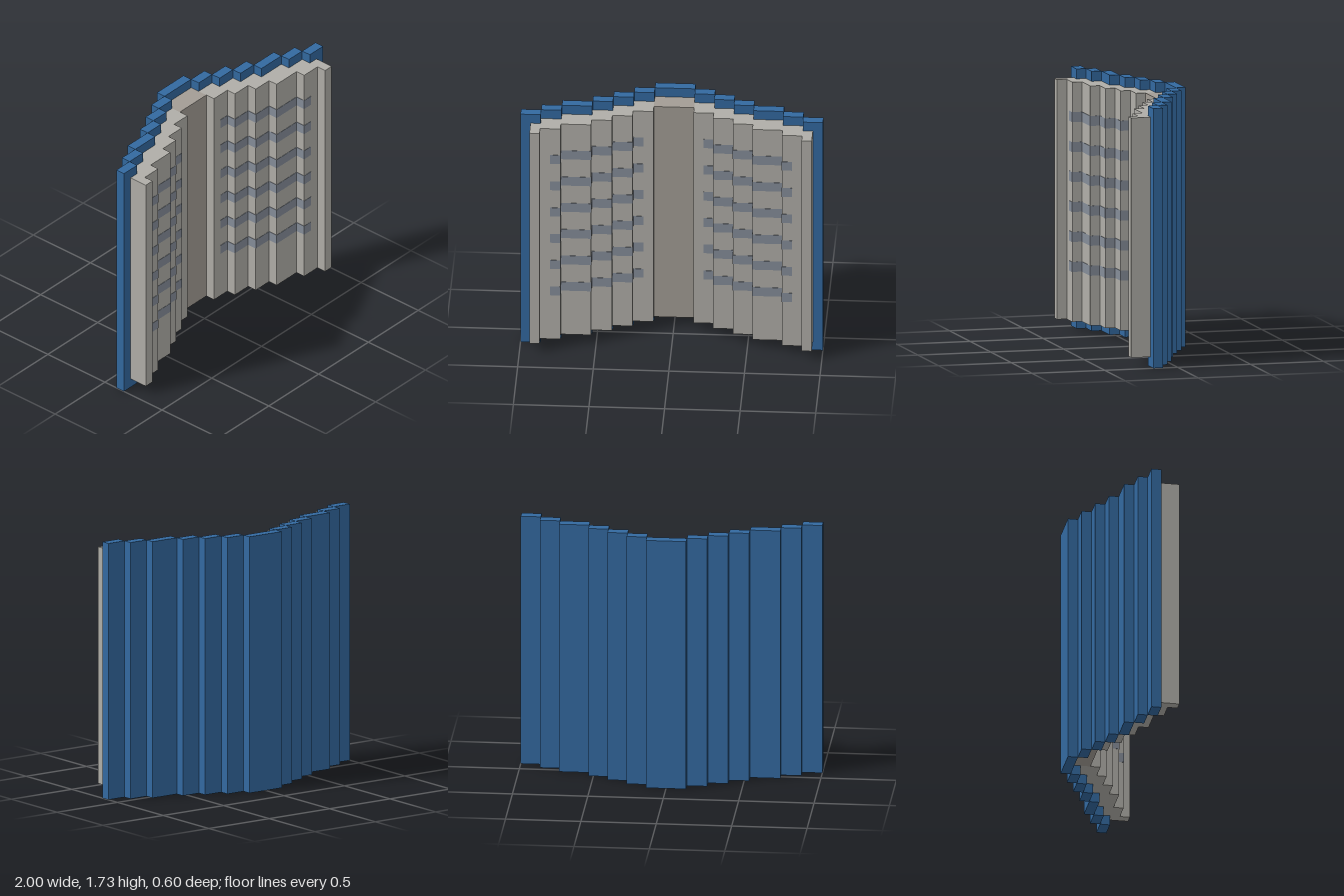
import * as THREE from 'three';

const U = 1 / 15; // one block unit
const EPS = 0.03; // how far the printed lines stand proud, in units

const mat = (color) => new THREE.MeshStandardMaterial({ color, flatShading: true });
const coverMat = mat(0x3369a0);
const pageMat = mat(0xb0aea8);
const gutterMat = mat(0xa39d95);
const lineMat = mat(0x858d99);

// Box given by its limits in block units
function block(name, material, x0, x1, y0, y1, z0, z1) {
  const mesh = new THREE.Mesh(
    new THREE.BoxGeometry((x1 - x0) * U, (y1 - y0) * U, (z1 - z0) * U), material);
  mesh.position.set((x0 + x1) / 2 * U, (y0 + y1) / 2 * U, (z0 + z1) / 2 * U);
  mesh.name = name;
  return mesh;
}

export function createModel() {
  const book = new THREE.Group();
  book.name = 'openBook';

  // Spine and the gutter between the two page stacks
  book.add(block('spine', coverMat, -2, 2, 0, 26, -4.5, -3.5));
  book.add(block('pageGutter', gutterMat, -2, 2, 1, 25, -3.5, -1.5));

  // Each half steps forward one unit per strip, going outwards
  const edges = [2, 4, 6, 8, 11, 13, 15];
  for (const [side, s] of [['left', 1], ['right', -1]]) {
    const cover = new THREE.Group();
    const pages = new THREE.Group();
    const lines = new THREE.Group();
    cover.name = side + 'Cover';
    pages.name = side + 'Pages';
    lines.name = side + 'PrintedLines';

    const strip = (name, material, a, b, ...rest) =>
      block(name, material, Math.min(s * a, s * b), Math.max(s * a, s * b), ...rest);

    for (let i = 0; i < edges.length - 1; i++) {
      const a = edges[i], b = edges[i + 1];
      const z = -3.5 + i; // back of the cover strip
      cover.add(strip('coverStrip', coverMat, a, b, 0, 26, z, z + 1));
      pages.add(strip('pageStrip', pageMat, a, Math.min(b, 14), 1, 25, z + 1, z + 3));

      // Lines of print wrap over the front and inner riser of each strip
      const la = Math.max(a, 3) - EPS, lb = Math.min(b, 12);
      if (lb <= la) continue;
      for (let y = 6; y <= 21; y += 3) {
        lines.add(strip('printedLine', lineMat, la, lb, y, y + 1, z + 2, z + 3 + EPS));
      }
    }
    book.add(cover, pages, lines);
  }
  return book;
}
